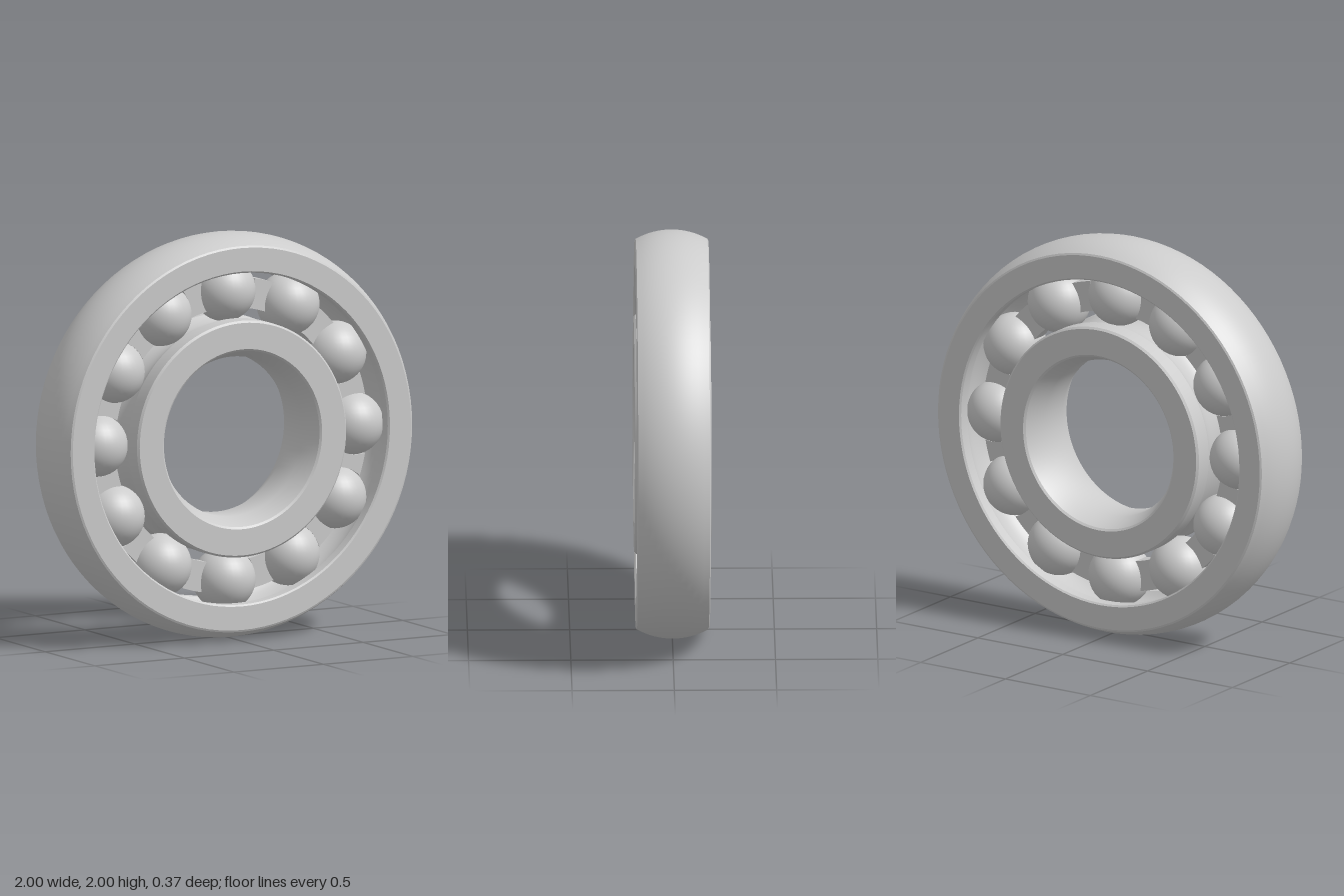
import * as THREE from 'three';
import { toCreasedNormals } from 'three/addons/utils/BufferGeometryUtils.js';

const BALLS = 12, PITCH = 0.715, BALL_R = 0.155;
const material = new THREE.MeshStandardMaterial({ color: 0xcccccc });

// points [radius, z] along a circular arc
function arc(cr, cz, r, from, to, n) {
  return Array.from({ length: n + 1 }, (_, i) => {
    const a = from + (to - from) * i / n;
    return [cr + r * Math.cos(a), cz + r * Math.sin(a)];
  });
}

// closed ring revolved around the z axis
function ring(name, profile) {
  const points = [...profile, profile[0]].map(([r, z]) => new THREE.Vector2(r, z));
  const geometry = toCreasedNormals(new THREE.LatheGeometry(points, 96), 0.45);
  geometry.rotateX(Math.PI / 2);
  const mesh = new THREE.Mesh(geometry, material);
  mesh.name = name;
  return mesh;
}

export function createModel() {
  const model = new THREE.Group();
  model.name = 'ballBearing';
  const bearing = new THREE.Group();
  bearing.name = 'bearing';
  bearing.position.y = 1;
  model.add(bearing);

  // outer ring: crowned outside, ball groove inside
  const crownR = 0.36;
  const crownA = Math.asin(0.175 / crownR);
  const grooveR = BALL_R + 0.003;
  const outerA = Math.acos((0.82 - PITCH) / grooveR);
  bearing.add(ring('outerRing', [
    ...arc(1 - crownR, 0, crownR, -crownA, crownA, 12),
    [0.945, 0.18], [0.828, 0.18], [0.82, 0.172],
    ...arc(PITCH, 0, grooveR, outerA, -outerA, 12),
    [0.82, -0.172], [0.828, -0.18], [0.945, -0.18],
  ]));

  // inner ring: ball groove outside, bore with wide chamfers inside
  const innerA = Math.acos((0.585 - PITCH) / grooveR);
  bearing.add(ring('innerRing', [
    [0.575, -0.187], [0.585, -0.177],
    ...arc(PITCH, 0, grooveR, 2 * Math.PI - innerA, innerA, 12),
    [0.585, 0.177], [0.575, 0.187],
    [0.445, 0.187], [0.435, 0.178], [0.395, 0.08],
    [0.395, -0.08], [0.435, -0.178], [0.445, -0.187],
  ]));

  // cage: flat ring segments between the balls, ends cupped around them
  const cage = new THREE.Group();
  cage.name = 'cage';
  const step = 2 * Math.PI / BALLS;
  const half = step / 2 - 0.19;
  const shape = new THREE.Shape();
  shape.absarc(0, 0, 0.78, -half, half, false);
  shape.quadraticCurveTo(0.7, 0.02, 0.63 * Math.cos(half), 0.63 * Math.sin(half));
  shape.absarc(0, 0, 0.63, half, -half, true);
  shape.quadraticCurveTo(0.7, -0.02, 0.78 * Math.cos(half), -0.78 * Math.sin(half));
  const bridge = new THREE.ExtrudeGeometry(shape, { depth: 0.08, bevelEnabled: false, curveSegments: 8 });
  bridge.translate(0, 0, -0.04);

  // balls
  const balls = new THREE.Group();
  balls.name = 'balls';
  const sphere = new THREE.SphereGeometry(BALL_R, 32, 20);
  for (let i = 0; i < BALLS; i++) {
    const a = i * step;
    const ball = new THREE.Mesh(sphere, material);
    ball.name = 'ball';
    ball.position.set(PITCH * Math.cos(a), PITCH * Math.sin(a), 0);
    balls.add(ball);

    const segment = new THREE.Mesh(bridge, material);
    segment.name = 'cageSegment';
    segment.rotation.z = a + step / 2;
    cage.add(segment);
  }
  bearing.add(cage, balls);
  return model;
}
